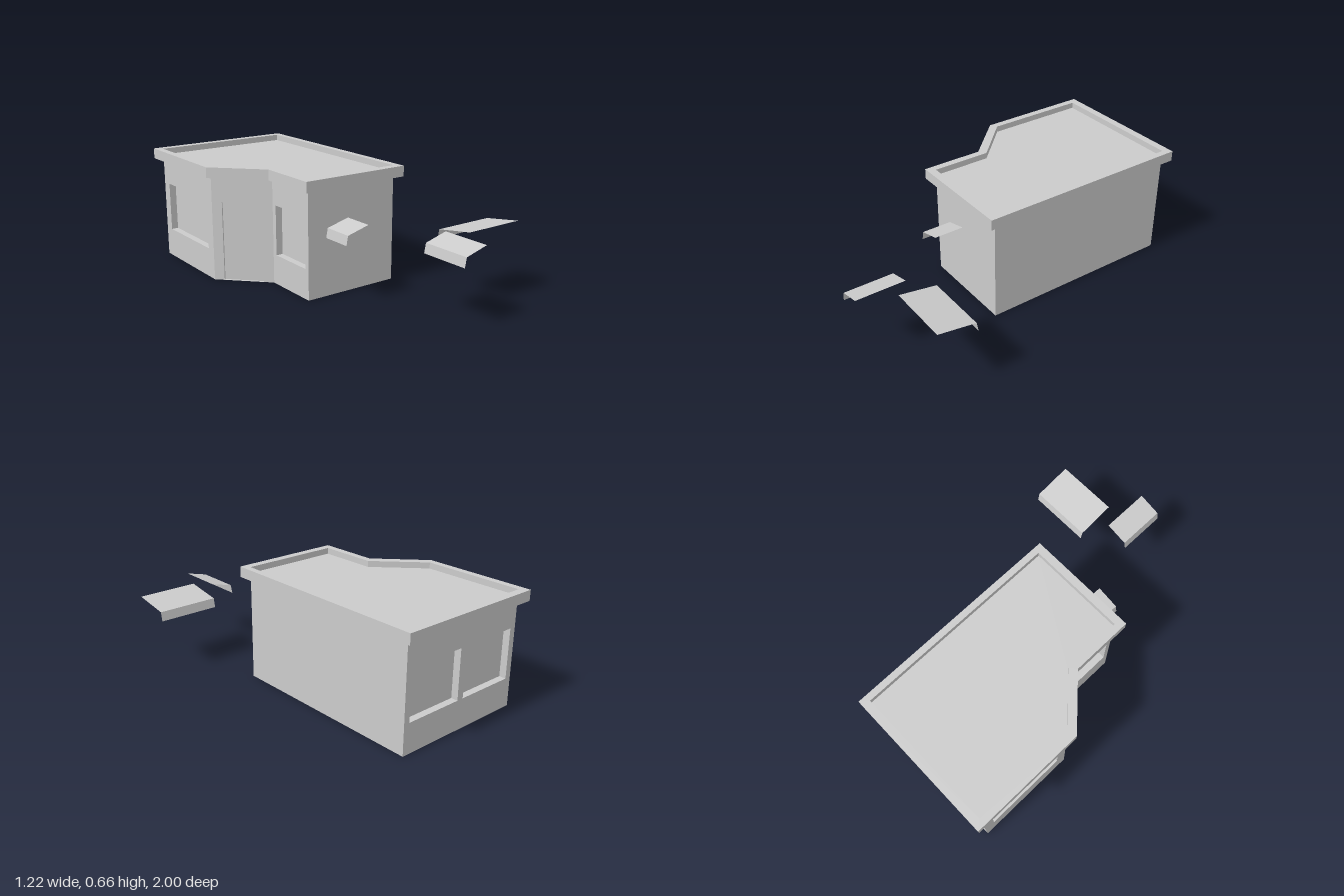
import * as THREE from 'three';

const solid = new THREE.MeshStandardMaterial({ color: 0xcccccc, flatShading: true });
const sheet = new THREE.MeshStandardMaterial({ color: 0xcccccc, flatShading: true, side: THREE.DoubleSide });

const WALL_H = 0.6, ROOF_TOP = 0.66, ROOF_FLOOR = 0.625;
const SILL = 0.17, HEAD = 0.455;

// Floor plan corners [x, z], walked so that the outside is on each wall's +z side
const plan = [[-0.33, 0.225], [0.24, 0.225], [0.24, -0.955], [-0.572, -0.955], [-0.572, -0.36], [-0.33, -0.115]];
const eaves = [[-0.37, 0.27], [0.277, 0.27], [0.277, -1], [-0.612, -1], [-0.612, -0.335], [-0.37, -0.085]];

const windowAt = (u0, u1) => ({ name: 'window', u0, u1, y0: SILL, y1: HEAD, depth: 0.04 });

// Openings per wall, measured along the wall from its first corner
const openings = [
  [],
  [],
  [windowAt(0.035, 0.385), windowAt(0.425, 0.775)],
  [windowAt(0.06, 0.535)],
  [{ name: 'door', u0: 0.057, u1: 0.286, y0: 0, y1: HEAD, depth: 0.015 }],
  [windowAt(0.03, 0.31)],
];

function addMesh(parent, name, geometry, material) {
  const mesh = new THREE.Mesh(geometry, material);
  mesh.name = name;
  parent.add(mesh);
  return mesh;
}

// Inset panel with its reveals: a box without its outer face
function recess({ u0, u1, y0, y1, depth }) {
  const box = new THREE.BoxGeometry(u1 - u0, y1 - y0, depth);
  const index = Array.from(box.index.array);
  index.splice(24, 6);
  box.setIndex(index);
  box.clearGroups();
  box.translate((u0 + u1) / 2, (y0 + y1) / 2, -depth / 2);
  return box;
}

// Thin wall from a to b, with openings cut out and filled by recesses
function makeWall(a, b, holes) {
  const dx = b[0] - a[0], dz = b[1] - a[1], length = Math.hypot(dx, dz);
  const wall = new THREE.Group();
  wall.name = 'wall';
  wall.position.set(a[0], 0, a[1]);
  wall.rotation.y = Math.atan2(-dz, dx);

  const shape = new THREE.Shape().moveTo(0, 0);
  for (const { u0, u1, y0, y1 } of holes) {
    if (y0 === 0) {
      shape.lineTo(u0, 0).lineTo(u0, y1).lineTo(u1, y1).lineTo(u1, 0);
    } else {
      shape.holes.push(new THREE.Path().moveTo(u0, y0).lineTo(u0, y1).lineTo(u1, y1).lineTo(u1, y0).closePath());
    }
  }
  shape.lineTo(length, 0).lineTo(length, WALL_H).lineTo(0, WALL_H).closePath();
  addMesh(wall, 'wallFace', new THREE.ShapeGeometry(shape), sheet);
  for (const hole of holes) addMesh(wall, hole.name, recess(hole), sheet);
  return wall;
}

// Flat slab from a plan outline
function slab(outline, y0, y1, inner) {
  const toPoints = (pts) => pts.map(([x, z]) => new THREE.Vector2(x, -z));
  const shape = new THREE.Shape(toPoints(outline));
  if (inner) shape.holes.push(new THREE.Path(toPoints(inner)));
  return new THREE.ExtrudeGeometry(shape, { depth: y1 - y0, bevelEnabled: false })
    .rotateX(-Math.PI / 2).translate(0, y0, 0);
}

// Sloped sheet with a hanging front edge, facing local -z
function awning(length, reach) {
  const profile = [[0.415, reach], [0.38, 0.01], [0.327, 0]];
  const h = length / 2, pos = [];
  for (let i = 0; i < 2; i++) {
    const [y0, z0] = profile[i], [y1, z1] = profile[i + 1];
    pos.push(-h, y0, z0, h, y0, z0, h, y1, z1, -h, y0, z0, h, y1, z1, -h, y1, z1);
  }
  const geometry = new THREE.BufferGeometry();
  geometry.setAttribute('position', new THREE.Float32BufferAttribute(pos, 3));
  geometry.computeVertexNormals();
  return geometry;
}

export function createModel() {
  const model = new THREE.Group();
  model.name = 'building';

  // Walls with windows and corner door
  const walls = new THREE.Group();
  walls.name = 'walls';
  plan.forEach((a, i) => walls.add(makeWall(a, plan[(i + 1) % plan.length], openings[i])));
  model.add(walls);

  // Overhanging roof with a parapet rim
  const roof = new THREE.Group();
  roof.name = 'roof';
  addMesh(roof, 'parapet', slab(eaves, WALL_H, ROOF_TOP, plan), solid);
  addMesh(roof, 'roofDeck', slab(plan, WALL_H, ROOF_FLOOR), solid);
  model.add(roof);

  // Loose awnings, one for each window size
  const back = addMesh(model, 'backAwning', awning(0.36, 0.227), sheet);
  back.position.set(0.43, 0, 0.58);
  const shortSide = addMesh(model, 'shortSideAwning', awning(0.28, 0.143), sheet);
  shortSide.position.set(0.025, 0, 0.86);
  const longSide = addMesh(model, 'longSideAwning', awning(0.48, 0.143), sheet);
  longSide.position.set(-0.215, 0, 0.16);
  shortSide.rotation.y = longSide.rotation.y = Math.PI / 2;

  return model;
}
